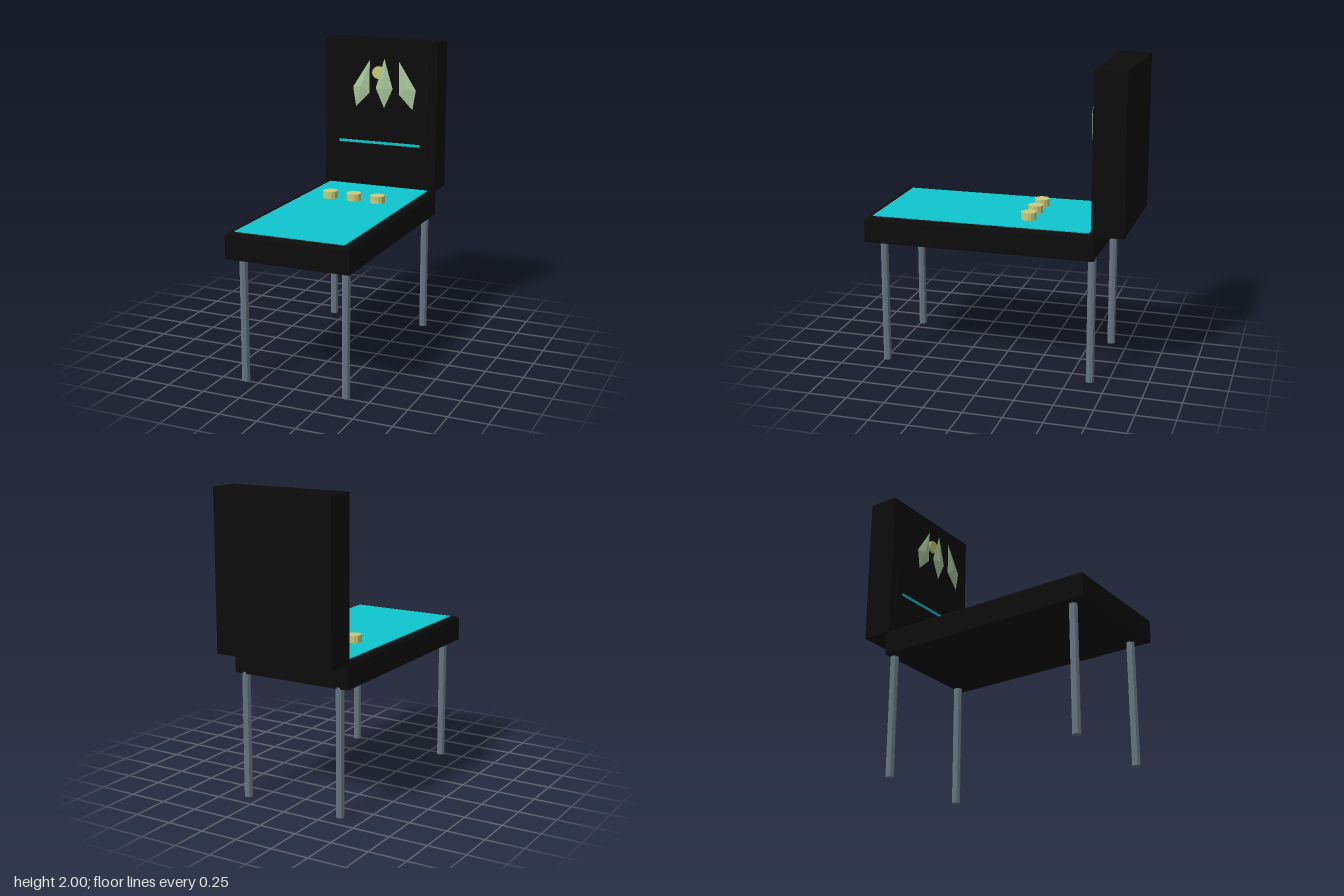
import * as THREE from 'three';

const mat = (name, color) => {
  const m = new THREE.MeshStandardMaterial({ color });
  m.name = name;
  return m;
};

export function createModel() {
  const model = new THREE.Group();
  const black = mat('cabinet black', 0x0c0c0c);
  const cyan = mat('playfield cyan', 0x0fc6ce);
  const yellow = mat('bumper yellow', 0xc9cc7a);
  const green = mat('pale green', 0xa8c79c);
  const steel = mat('leg steel', 0x667684);

  const add = (name, geometry, material, x, y, z) => {
    const mesh = new THREE.Mesh(geometry, material);
    mesh.name = name;
    mesh.position.set(x, y, z);
    model.add(mesh);
    return mesh;
  };
  const flat = (geometry) => {
    const g = geometry.index ? geometry.toNonIndexed() : geometry;
    g.computeVertexNormals();
    return g;
  };

  // Table body: a box whose top edges are chamfered
  const body = new THREE.BoxGeometry(0.82, 0.165, 1.505, 1, 2, 1);
  const p = body.attributes.position;
  for (let i = 0; i < p.count; i++) {
    if (Math.abs(p.getY(i)) < 0.01) p.setY(i, 0.065);
    else if (p.getY(i) > 0) {
      p.setX(i, p.getX(i) - Math.sign(p.getX(i)) * 0.015);
      p.setZ(i, p.getZ(i) - Math.sign(p.getZ(i)) * 0.015);
    }
  }
  add('tableBody', flat(body), black, 0, 0.9025, 0.0925);

  // Playfield sheet
  add('playfield', new THREE.BoxGeometry(0.73, 0.008, 1.42), cyan, 0, 0.987, 0.09);

  // Upright back box with its front panel and stripe
  add('backBox', new THREE.BoxGeometry(0.82, 1.02, 0.205), black, 0, 1.49, -0.7425);
  add('backPanel', new THREE.BoxGeometry(0.72, 0.8, 0.008), black, 0, 1.545, -0.637);
  add('panelStripe', new THREE.BoxGeometry(0.595, 0.018, 0.006), cyan, 0, 1.293, -0.631);

  // Legs
  const leg = flat(new THREE.CylinderGeometry(0.027, 0.027, 0.83, 8));
  for (const x of [-0.343, 0.343])
    for (const z of [0.735, -0.638]) add('leg', leg, steel, x, 0.415, z);

  // Bumpers
  const bumper = flat(new THREE.CylinderGeometry(0.05, 0.05, 0.05, 12));
  for (const x of [-0.17, 0, 0.17]) add('bumper', bumper, yellow, x, 1.014, -0.185);

  // Round emblem on the back panel
  const disc = flat(new THREE.CylinderGeometry(0.043, 0.043, 0.022, 12));
  add('panelDisc', disc, yellow, -0.004, 1.785, -0.62).rotation.x = Math.PI / 2;

  // Faceted leaves: a four-point outline (anticlockwise) with front and back peaks
  const leaf = (outline, cx, cy) => {
    const pts = [];
    for (let i = 0; i < 4; i++) {
      const a = outline[i], b = outline[(i + 1) % 4];
      pts.push(...a, 0, ...b, 0, cx, cy, 0.014);
      pts.push(...b, 0, ...a, 0, cx, cy, -0.014);
    }
    const g = new THREE.BufferGeometry();
    g.setAttribute('position', new THREE.Float32BufferAttribute(pts, 3));
    return flat(g);
  };
  const side = [[0.107, 0.19], [0.107, -0.035], [0.207, -0.135], [0.23, 0]];
  const mirrored = side.map(([x, y]) => [-x, y]).reverse();
  add('leftLeaf', leaf(side, 0.165, 0.01), green, 0.045, 1.68, -0.604);
  add('rightLeaf', leaf(mirrored, -0.165, 0.01), green, 0.045, 1.68, -0.604);
  add('middleLeaf', leaf([[0, 0.205], [-0.062, 0], [0, -0.135], [0.062, 0]], 0, 0), green, 0.045, 1.68, -0.604);

  return model;
}
